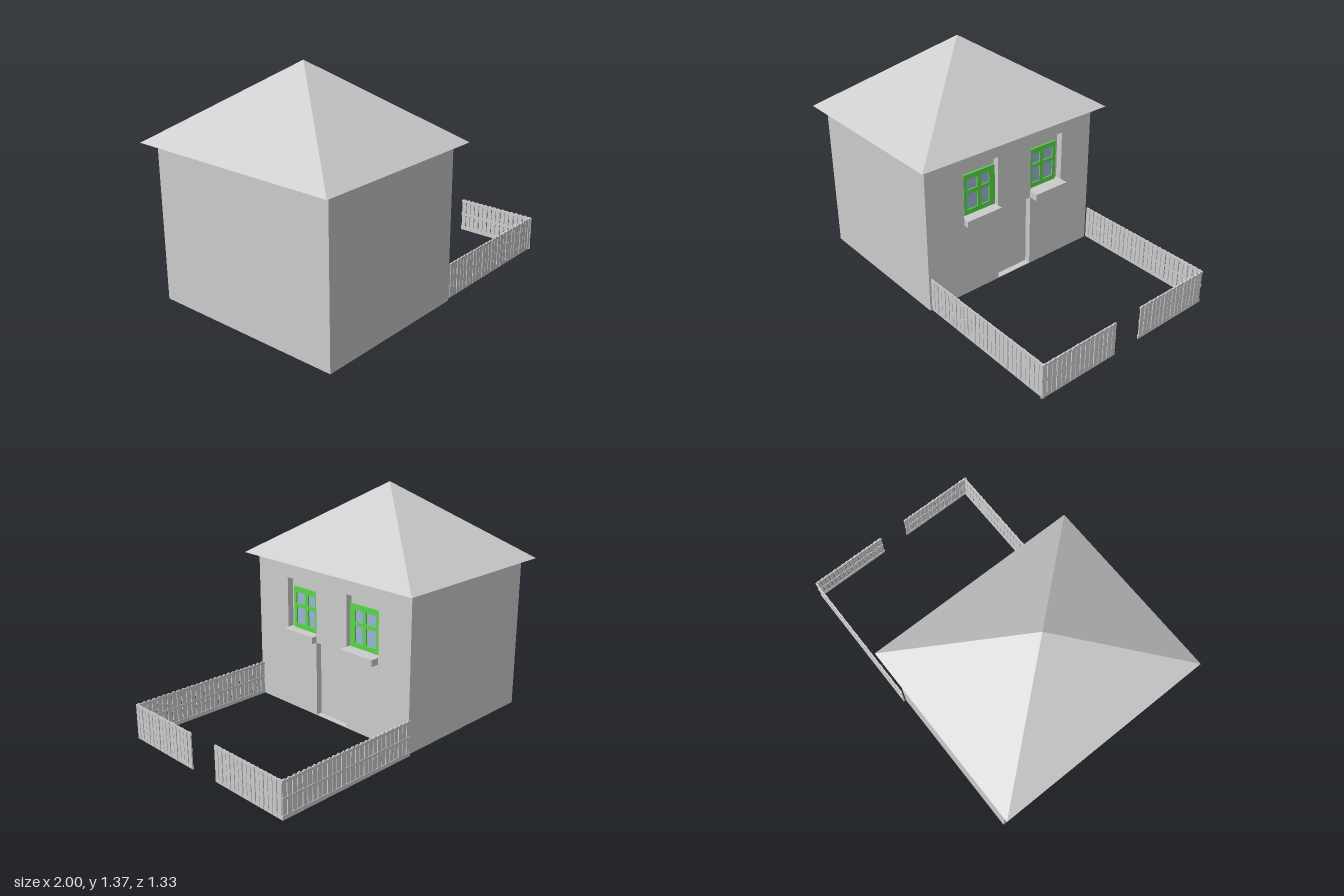
import * as THREE from 'three';
import { mergeGeometries } from 'three/addons/utils/BufferGeometryUtils.js';

const grey = new THREE.MeshStandardMaterial({ color: 0xcccccc, flatShading: true });
const green = new THREE.MeshStandardMaterial({ color: 0x59d64a });
const blue = new THREE.MeshStandardMaterial({ color: 0x9db4d6 });

function mesh(name, geometry, material = grey) {
  const m = new THREE.Mesh(geometry, material);
  m.name = name;
  return m;
}

// Box geometry from its minimum and maximum corners
function span(x0, x1, y0, y1, z0, z1) {
  return new THREE.BoxGeometry(x1 - x0, y1 - y0, z1 - z0)
    .translate((x0 + x1) / 2, (y0 + y1) / 2, (z0 + z1) / 2);
}

// Rectangle outline from its limits
function rect(Type, u0, u1, v0, v1) {
  const p = new Type();
  p.moveTo(u0, v0).lineTo(u1, v0).lineTo(u1, v1).lineTo(u0, v1).closePath();
  return p;
}

// Extrudes a shape drawn in (-z, y) so that it spans x0..x1
function sideExtrude(shape, x0, x1) {
  return new THREE.ExtrudeGeometry(shape, { depth: x1 - x0, bevelEnabled: false })
    .rotateY(Math.PI / 2).translate(x0, 0, 0);
}

const MID = 0.0125;            // centre of the door side, measured along -z
const WALL = 0.06, RECESS = 0.02;

// Window in its recess; side is -1 for the +z window and 1 for the -z one
function makeWindow(side) {
  const g = new THREE.Group();
  g.name = side < 0 ? 'leftWindow' : 'rightWindow';
  const r = (Type, a, b, v0, v1) => {
    const u = [MID + side * a, MID + side * b].sort((p, q) => p - q);
    return rect(Type, u[0], u[1], v0, v1);
  };
  const frame = r(THREE.Shape, 0.123, 0.344, 0.505, 0.76);
  for (const [a, b] of [[0.163, 0.222], [0.247, 0.322]]) {
    for (const [v0, v1] of [[0.535, 0.637], [0.66, 0.728]]) {
      frame.holes.push(r(THREE.Path, a, b, v0, v1));
    }
  }
  g.add(mesh('windowFrame', sideExtrude(frame, RECESS, RECESS + 0.012), green));
  g.add(mesh('glass', sideExtrude(r(THREE.Shape, 0.13, 0.338, 0.51, 0.755), RECESS - 0.005, RECESS + 0.004), blue));
  const reach = side < 0 ? 0.095 : 0.115;
  g.add(mesh('windowSill', sideExtrude(r(THREE.Shape, 0.123, 0.367, 0.465, 0.505), RECESS, reach)));
  return g;
}

// Fence run along +x from the origin: round-topped pickets on rails
function makeFence(name, length) {
  const g = new THREE.Group();
  g.name = name;
  const count = Math.round(length / 0.033);
  const pitch = length / count, w = pitch - 0.005;
  const pickets = [];
  for (let i = 0; i < count; i++) {
    const x = i * pitch + 0.0025;
    const s = new THREE.Shape();
    s.moveTo(x, 0.004).lineTo(x + w, 0.004).lineTo(x + w, 0.209);
    s.quadraticCurveTo(x + w / 2, 0.222, x, 0.209);
    s.closePath();
    const wobble = 0.001 * Math.sin(i * 2.4);
    pickets.push(new THREE.ExtrudeGeometry(s, { depth: 0.007, bevelEnabled: false, curveSegments: 4 })
      .translate(0, 0, -0.0035 + wobble));
  }
  g.add(mesh('pickets', mergeGeometries(pickets)));
  const rails = [[0, 0.024], [0.103, 0.118], [0.195, 0.21]]
    .map(([y0, y1]) => span(0, length, y0, y1, -0.006, 0.002));
  g.add(mesh('rails', mergeGeometries(rails)));
  return g;
}

export function createModel() {
  const model = new THREE.Group();
  model.name = 'house';

  // House body and the outer wall layer with door and window openings
  model.add(mesh('houseBody', span(-0.93, RECESS, 0, 0.93, -0.61, 0.61)));
  const wall = rect(THREE.Shape, -0.61, 0.61, 0, 0.93);
  wall.holes.push(
    rect(THREE.Path, MID - 0.123, MID + 0.123, 0.004, 0.465),
    rect(THREE.Path, MID - 0.367, MID - 0.123, 0.465, 0.815),
    rect(THREE.Path, MID + 0.123, MID + 0.367, 0.465, 0.815));
  model.add(mesh('frontWall', sideExtrude(wall, RECESS, WALL)));
  model.add(mesh('door', span(RECESS - 0.01, RECESS + 0.003, 0.004, 0.465, -MID - 0.123, -MID + 0.123)));
  model.add(makeWindow(-1), makeWindow(1));

  // Four-sided roof with a closed underside
  const roof = new THREE.ConeGeometry(Math.SQRT1_2, 1, 4, 1).rotateY(Math.PI / 4)
    .scale(1.13, 0.445, 1.33).translate(-0.435, 1.1475, 0);
  model.add(mesh('roof', roof));

  // Garden fence with a gate gap in the outer side
  const runs = [
    ['leftSideFence', 0.935, 0.06, 0.595, 0],
    ['rightSideFence', 0.925, 0.06, -0.62, 0],
    ['outerFenceNear', 0.52, 0.99, 0.605, Math.PI / 2],
    ['outerFenceFar', 0.515, 0.983, -0.105, Math.PI / 2],
  ];
  for (const [name, length, x, z, turn] of runs) {
    const fence = makeFence(name, length);
    fence.position.set(x, 0, z);
    fence.rotation.y = turn;
    model.add(fence);
  }
  return model;
}
